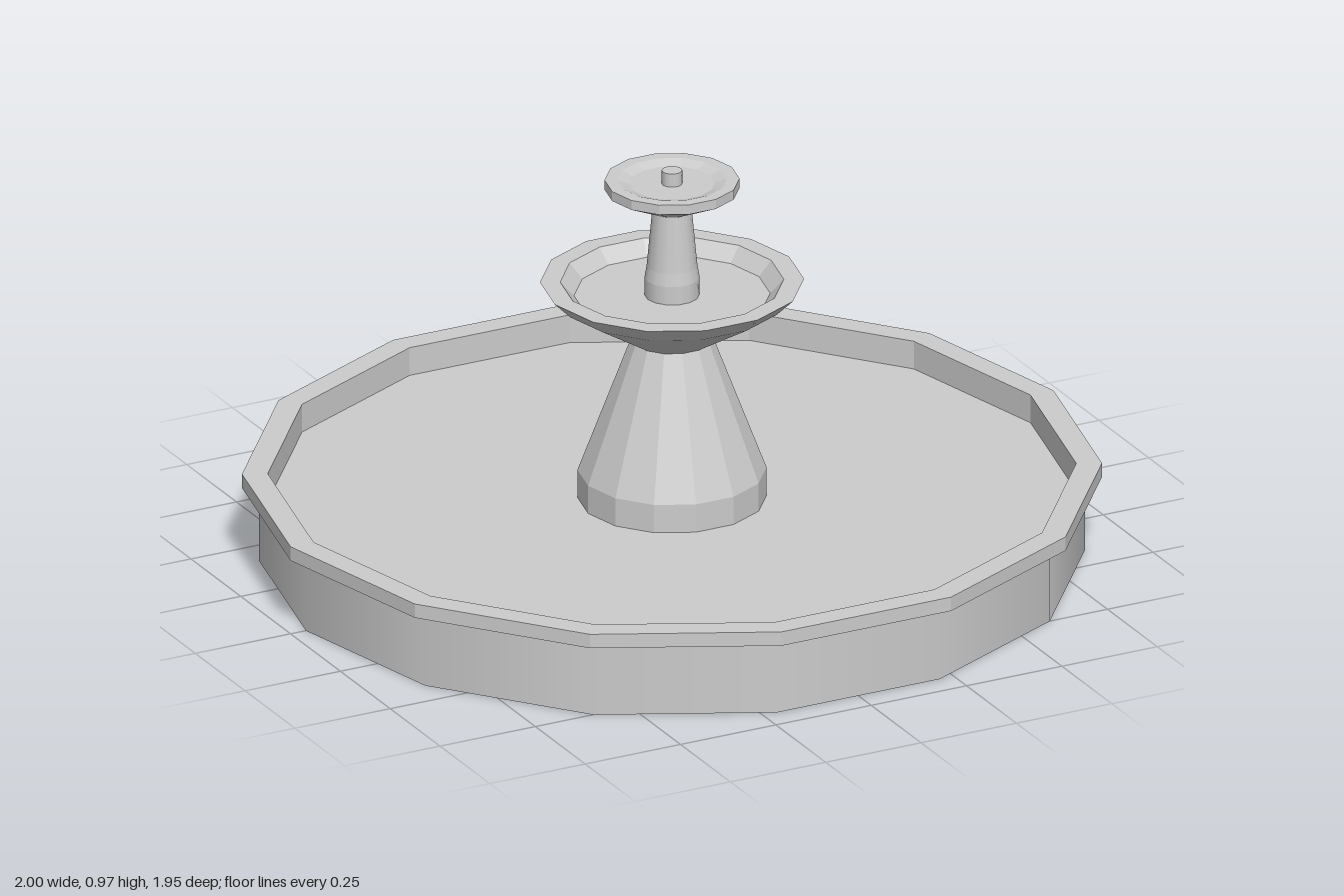
import * as THREE from 'three';
import { mergeGeometries } from 'three/addons/utils/BufferGeometryUtils.js';

const SIDES = 14;

// Turn a [radius, height] profile; each band is separate so its edges stay sharp.
// Profiles run from the underside outward, up and back in.
function turned(name, profile, flat = true) {
  const bands = [];
  for (let i = 0; i < profile.length - 1; i++) {
    const points = [profile[i], profile[i + 1]].map(([r, y]) => new THREE.Vector2(r, y));
    bands.push(new THREE.LatheGeometry(points, SIDES, Math.PI / 2));
  }
  const material = new THREE.MeshStandardMaterial({ color: 0xcccccc, flatShading: flat });
  const mesh = new THREE.Mesh(mergeGeometries(bands), material);
  mesh.name = name;
  return mesh;
}

export function createModel() {
  const fountain = new THREE.Group();
  fountain.name = 'fountain';

  // Wide ground pool: smooth wall, faceted overhanging rim, sunken floor
  const pool = new THREE.Group();
  pool.name = 'pool';
  pool.add(
    turned('poolWall', [[0, 0], [0.96, 0], [0.96, 0.185]], false),
    turned('poolRim', [[0.96, 0.185], [1, 0.185], [1, 0.22], [0.94, 0.22], [0.94, 0.15]]),
    turned('poolFloor', [[0.94, 0.15], [0, 0.15]]),
  );

  // Tapered pedestal on a short upright foot
  const pedestal = turned('pedestal', [[0.22, 0.15], [0.22, 0.22], [0.096, 0.55]]);

  // Middle bowl with flat lip and shallow basin
  const middleBowl = turned('middleBowl', [
    [0.096, 0.55], [0.267, 0.655], [0.307, 0.695], [0.26, 0.695], [0.228, 0.66], [0, 0.66],
  ]);

  // Slender column between the bowls
  const column = turned('column', [[0.064, 0.66], [0.064, 0.705], [0.059, 0.735], [0.046, 0.875]], false);

  // Small top bowl
  const topBowl = turned('topBowl', [
    [0.046, 0.873], [0.157, 0.927], [0.157, 0.951], [0.128, 0.951], [0.1, 0.941], [0, 0.941],
  ]);

  // Water spout
  const spout = turned('spout', [[0.024, 0.941], [0.024, 0.974], [0, 0.974]], false);

  fountain.add(pool, pedestal, middleBowl, column, topBowl, spout);
  return fountain;
}
